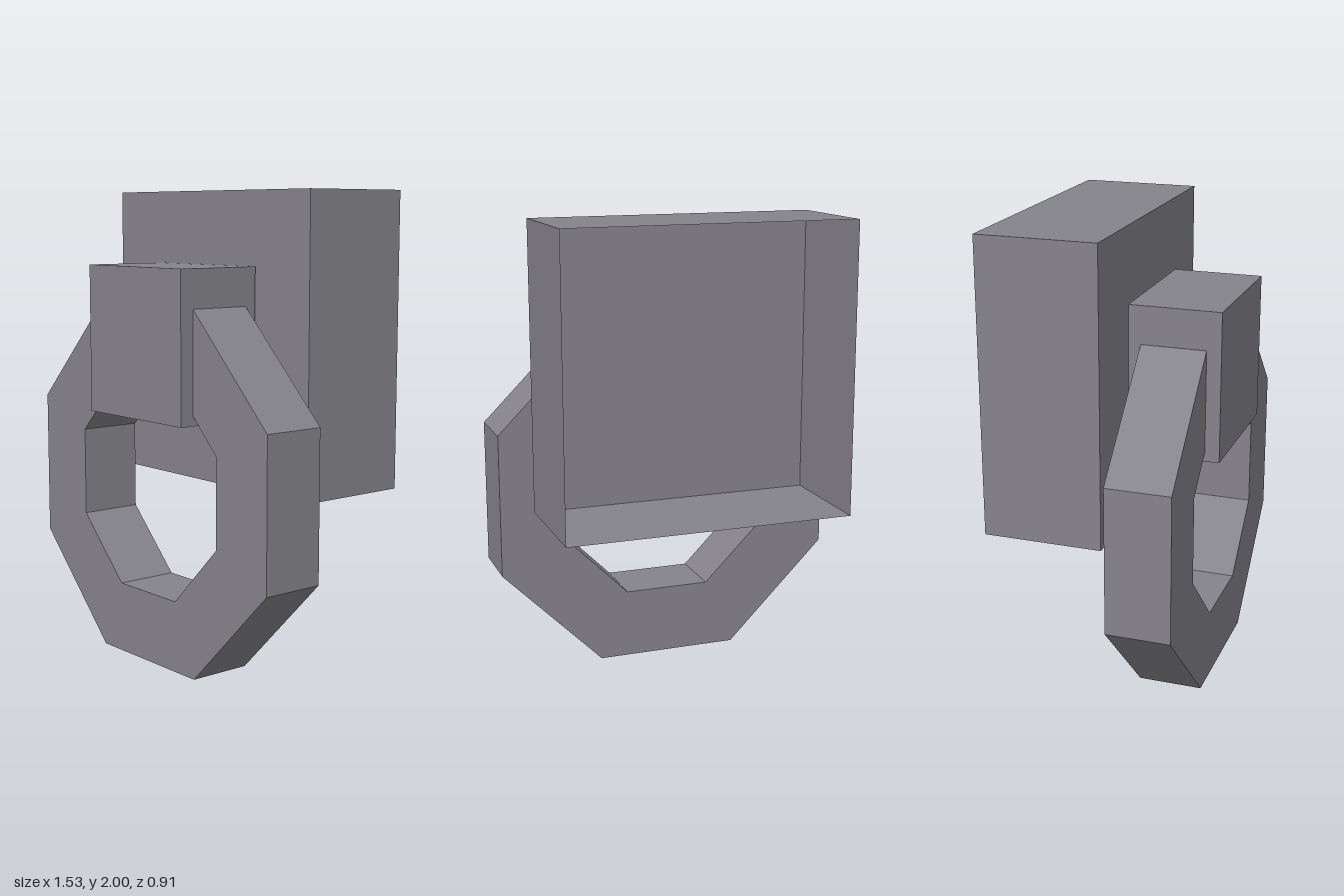
import * as THREE from 'three';

export function createModel() {
  const group = new THREE.Group();
  const iron = new THREE.MeshStandardMaterial({ color: 0x86848b, side: THREE.DoubleSide });
  iron.name = 'grey iron';

  function add(name, geometry, x, y, z) {
    const mesh = new THREE.Mesh(geometry, iron);
    mesh.name = name;
    mesh.position.set(x, y, z);
    group.add(mesh);
  }

  // Wall mount: a thin-walled box with its back face left off
  const mount = new THREE.BoxGeometry(1.256, 1.254, 0.508);
  mount.setIndex(Array.from(mount.index.array).slice(0, 30));
  mount.clearGroups();
  add('wallMount', mount, 0, 1.373, -0.199);

  // Block that holds the ring
  add('ringHolder', new THREE.BoxGeometry(0.63, 0.63, 0.388), 0, 1.374, 0.26);

  // Octagonal ring, flat sided, centred on its own origin
  const octagon = (half, corner) => [
    [corner, -half], [half, -corner], [half, corner], [corner, half],
    [-corner, half], [-half, corner], [-half, -corner], [-corner, -half],
  ].map(([x, y]) => new THREE.Vector2(x, y));
  const outline = new THREE.Shape(octagon(0.763, 0.316));
  outline.holes.push(new THREE.Path(octagon(0.459, 0.19).reverse()));
  const ring = new THREE.ExtrudeGeometry(outline, { depth: 0.275, bevelEnabled: false });
  add('ring', ring, 0, 0.765, 0.118);

  return group;
}
